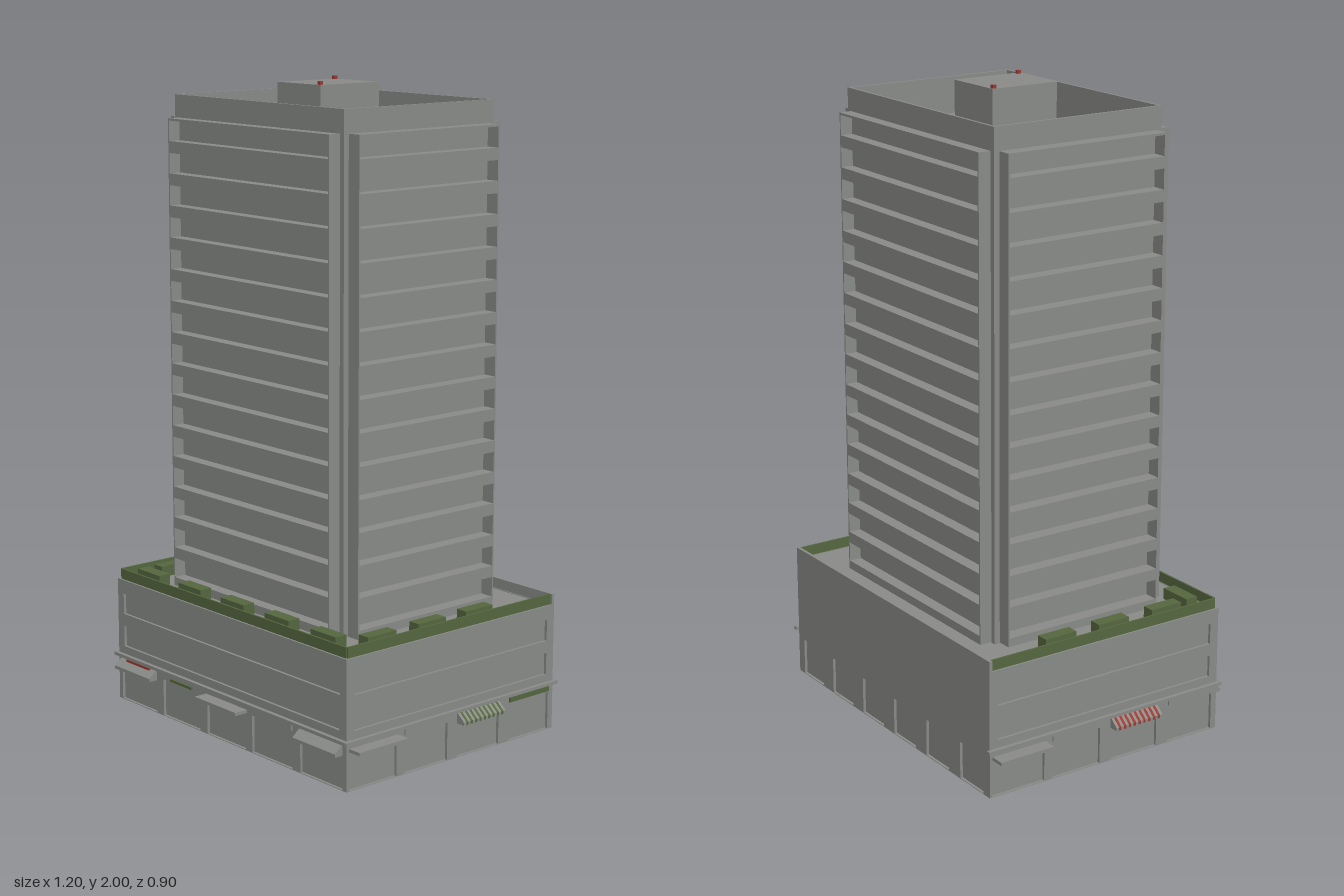
import * as THREE from 'three';

const mat = (name, color, side = THREE.FrontSide) => {
  const m = new THREE.MeshStandardMaterial({ color, side });
  m.name = name;
  return m;
};

export function createModel() {
  const concrete = mat('concrete grey', 0x8b8d89);
  const green = mat('hedge green', 0x56683f);
  const red = mat('signal red', 0x9a3a34);
  const model = new THREE.Group();
  model.name = 'towerBlock';
  const ZC = -0.025; // shared centre of tower and podium in z

  const add = (parent, name, geo, m) => {
    const mesh = new THREE.Mesh(geo, m);
    mesh.name = name;
    parent.add(mesh);
    return mesh;
  };
  // box given by its min and max corners
  const box = (parent, name, x0, x1, y0, y1, z0, z1, m = concrete) => {
    const b = add(parent, name, new THREE.BoxGeometry(x1 - x0, y1 - y0, z1 - z0), m);
    b.position.set((x0 + x1) / 2, (y0 + y1) / 2, (z0 + z1) / 2);
    return b;
  };
  const rect = (path, [x0, x1, y0, y1]) =>
    path.moveTo(x0, y0).lineTo(x1, y0).lineTo(x1, y1).lineTo(x0, y1).closePath();
  // wall whose outer face lies on local z = 0, pierced by rectangular holes
  const wall = (parent, name, outline, holes, depth) => {
    const shape = rect(new THREE.Shape(), outline);
    holes.forEach(h => shape.holes.push(rect(new THREE.Path(), h)));
    const geo = new THREE.ExtrudeGeometry(shape, { depth, bevelEnabled: false });
    add(parent, name, geo.translate(0, 0, -depth), concrete);
  };
  // group turned so that its local +z faces outwards at distance d
  const facade = (name, turn, d) => {
    const g = new THREE.Group();
    g.name = name;
    g.rotation.y = turn * Math.PI / 2;
    g.position.set(Math.sin(g.rotation.y) * d, 0, ZC + Math.cos(g.rotation.y) * d);
    model.add(g);
    return g;
  };

  // ---- tower: core with four panels of recessed window rows
  box(model, 'towerCore', -0.393, 0.393, 0.39, 1.83, ZC - 0.295, ZC + 0.295);
  const towerPanel = (name, turn, half, d, depth) => {
    const holes = [];
    for (let i = 0; i < 15; i++) {
      const top = 1.868 - i * 0.0985;
      holes.push([-half + 0.005, half - 0.005, top - 0.062, top]);
    }
    wall(facade(name, turn, d), 'windowGrid', [-half, half, 0.4, 1.875], holes, depth);
  };
  towerPanel('frontTowerFacade', 0, 0.376, 0.335, 0.041);
  towerPanel('rightTowerFacade', 1, 0.277, 0.438, 0.046);
  towerPanel('backTowerFacade', 2, 0.376, 0.335, 0.041);
  towerPanel('leftTowerFacade', 3, 0.277, 0.438, 0.046);

  // ---- roof parapet, as a hollow ring
  const ring = rect(new THREE.Shape(), [-0.393, 0.393, -0.295, 0.295]);
  ring.holes.push(rect(new THREE.Path(), [-0.384, 0.384, -0.286, 0.286]));
  const crown = add(model, 'roofParapet',
    new THREE.ExtrudeGeometry(ring, { depth: 0.115, bevelEnabled: false }), concrete);
  crown.rotation.x = -Math.PI / 2;
  crown.position.set(0, 1.83, ZC);

  // ---- roof equipment
  box(model, 'penthouse', -0.1, 0.1, 1.83, 1.99, -0.125, 0.105);
  box(model, 'penthouseDoor', -0.058, -0.03, 1.83, 1.875, 0.105, 0.11);
  box(model, 'coolingUnit', 0.28, 0.345, 1.83, 1.88, 0.133, 0.187);
  box(model, 'coolingDuct', 0.345, 0.366, 1.83, 1.85, 0.133, 0.143);
  for (const x of [-0.36, -0.325])
    box(model, 'roofVent', x - 0.014, x + 0.014, 1.83, 1.855, 0.124, 0.134);
  for (const [x, z] of [[-0.09, -0.115], [0.086, 0.095]])
    box(model, 'warningLight', x - 0.006, x + 0.006, 1.99, 2, z - 0.006, z + 0.006, red);

  // ---- podium roof and planters
  box(model, 'podiumRoof', -0.55, 0.55, 0.385, 0.398, -0.44, 0.39);
  const planter = (x, z, w, d) =>
    box(model, 'planter', x - w / 2, x + w / 2, 0.398, 0.433, z - d / 2, z + d / 2, green);
  for (let i = -2; i <= 2; i++) planter(i * 0.213 - 0.027, 0.333, 0.113, 0.042);
  for (const s of [-1, 1])
    for (const z of [-0.167, 0.028, 0.228]) planter(s * 0.497, z, 0.04, 0.112);

  // sloped awning; an accent colour gives it narrow stripes
  const awning = (parent, u0, u1, accent) => {
    const profile = new THREE.Shape();
    profile.moveTo(0, 0.143).lineTo(0, 0.108).lineTo(-0.03, 0.108).lineTo(-0.03, 0.118).closePath();
    const n = accent ? 19 : 1, w = (u1 - u0) / n;
    for (let i = 0; i < n; i++) {
      const geo = new THREE.ExtrudeGeometry(profile, { depth: w, bevelEnabled: false });
      geo.rotateY(Math.PI / 2).translate(u0 + i * w, 0, 0);
      // the extrusion runs along x, its profile points outwards along z
      add(parent, 'awning', geo, accent && i % 2 ? accent : concrete);
    }
  };
  const canopy = (parent, u0, u1) => box(parent, 'doorCanopy', u0, u1, 0.12, 0.13, 0, 0.045);

  // ---- podium walls: two window strips above a row of shop bays
  const podiumWall = (name, turn, half, d, bays) => {
    const g = facade(name, turn, d);
    const strips = [[0.18, 0.248], [0.288, 0.355]].map(([a, b]) => [-half + 0.03, half - 0.03, a, b]);
    const holes = strips.concat(bays.map(([a, b]) => [a, b, 0.002, 0.12]));
    wall(g, 'shopWall', [-half, half, 0, 0.4], holes, 0.01);
    box(g, 'recessPanel', -half + 0.01, half - 0.01, 0, 0.4, -0.014, -0.009);
    box(g, 'ledge', -half - 0.01, half + 0.01, 0.145, 0.155, 0, 0.013);
    box(g, 'greenRail', -half + 0.01, half - 0.01, 0.398, 0.433, -0.012, -0.006, green);
    return g;
  };

  const front = podiumWall('podiumFront', 0, 0.557, 0.425,
    [[-0.54, -0.355], [-0.32, -0.13], [-0.095, 0.095], [0.125, 0.315], [0.35, 0.54]]);
  awning(front, -0.54, -0.355);
  awning(front, 0.35, 0.54);
  canopy(front, -0.1, 0.1);
  box(front, 'redSign', -0.5, -0.38, 0.137, 0.144, 0.006, 0.014, red);
  box(front, 'greenSign', -0.28, -0.17, 0.124, 0.132, 0, 0.005, green);
  box(front, 'shopSign', 0.125, 0.315, 0.122, 0.147, 0, 0.005);

  for (const [name, turn, accent] of [['podiumRight', 1, green], ['podiumLeft', 3, red]]) {
    const side = podiumWall(name, turn, 0.425, 0.557,
      [[-0.415, -0.23], [-0.2, -0.025], [0.015, 0.19], [0.235, 0.405]]);
    canopy(side, -0.415, -0.225);
    awning(side, 0.015, 0.19, accent);
    box(side, 'shopSign', -0.2, -0.025, 0.122, 0.145, 0, 0.005);
    box(side, 'stripSign', 0.235, 0.405, 0.125, 0.142, 0, 0.005, turn === 1 ? green : concrete);
  }

  // ---- plain back wall with six loading bays
  const back = facade('podiumBack', 2, 0.425);
  const bays = [];
  for (let i = 0; i < 6; i++) {
    const u = (i - 2.5) * 0.185;
    bays.push([u - 0.062, u + 0.062, 0.002, 0.12]);
  }
  wall(back, 'backWall', [-0.557, 0.557, 0, 0.433], bays, 0.01);
  box(back, 'recessPanel', -0.547, 0.547, 0, 0.4, -0.014, -0.009);

  return model;
}
